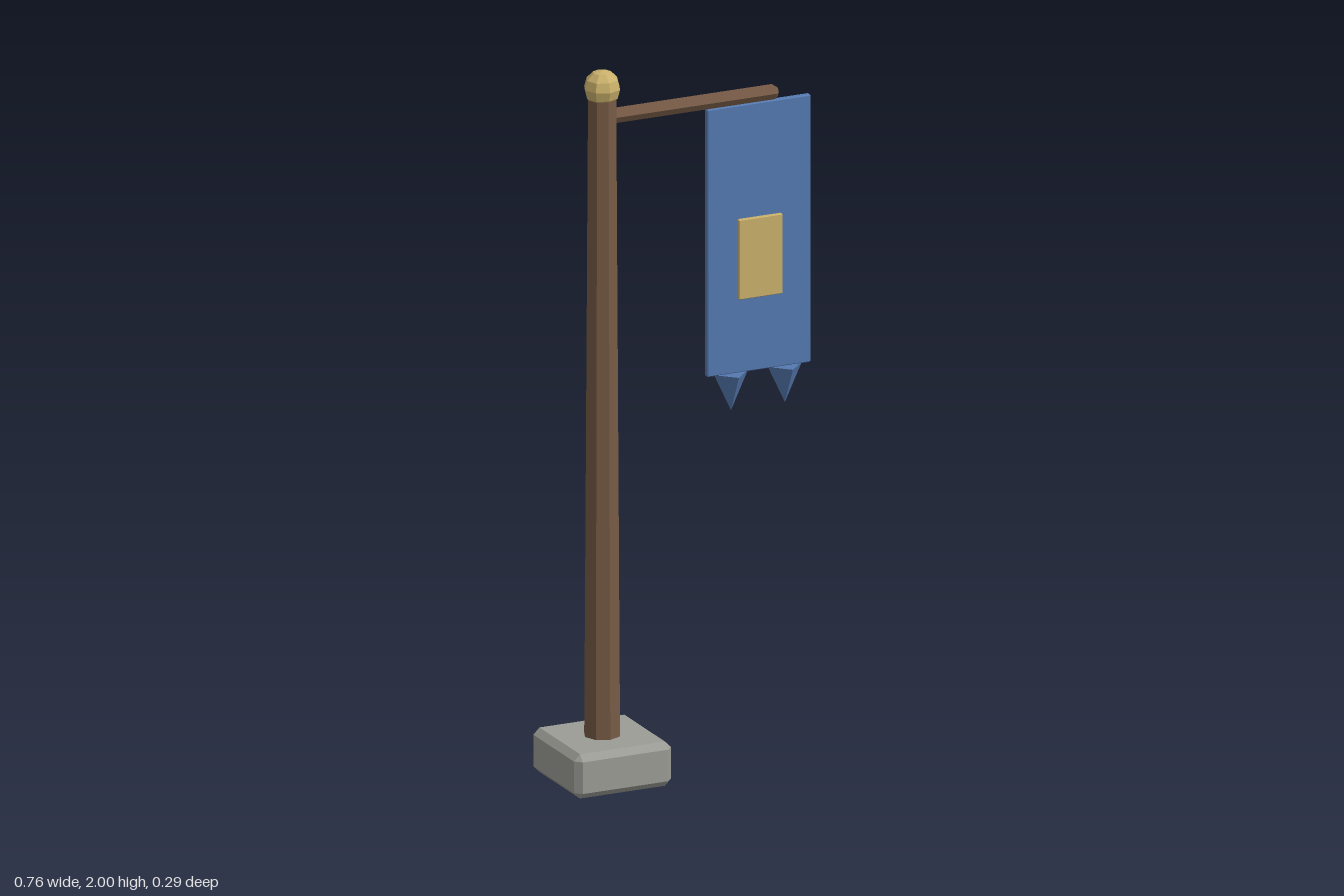
import * as THREE from 'three';
import { ConvexGeometry } from 'three/addons/geometries/ConvexGeometry.js';

const material = (color) => new THREE.MeshStandardMaterial({ color, flatShading: true });

// Box with every edge and corner cut by c
function chamferBox(w, h, d, c) {
  const half = [w / 2, h / 2, d / 2];
  const points = [];
  for (const sx of [-1, 1]) for (const sy of [-1, 1]) for (const sz of [-1, 1]) {
    for (let axis = 0; axis < 3; axis++) {
      const p = half.map((v, i) => (i === axis ? v : v - c));
      points.push(new THREE.Vector3(p[0] * sx, p[1] * sy, p[2] * sz));
    }
  }
  return new ConvexGeometry(points);
}

export function createModel() {
  const group = new THREE.Group();
  const stone = material(0x9c9c96);
  const wood = material(0x765a45);
  const cloth = material(0x5579b0);
  const gold = material(0xc9b06a);

  const add = (name, geometry, mat, x, y, z = 0) => {
    const mesh = new THREE.Mesh(geometry, mat);
    mesh.name = name;
    mesh.position.set(x, y, z);
    group.add(mesh);
    return mesh;
  };

  const poleX = -0.238;
  const bannerX = 0.224;

  // Stone foot, tapered octagonal pole and faceted ball on top
  add('base', chamferBox(0.288, 0.125, 0.288, 0.018), stone, poleX, 0.0625);
  add('pole', new THREE.CylinderGeometry(0.04, 0.051, 1.83, 8), wood, poleX, 1.025);
  add('finial', new THREE.SphereGeometry(0.051, 8, 6), gold, poleX, 1.949);

  // Hexagonal crossarm with a slightly cut end
  const armProfile = [[0, 0], [0.021, 0], [0.021, 0.508], [0.013, 0.518], [0, 0.518]]
    .map(([r, y]) => new THREE.Vector2(r, y));
  const arm = add('crossarm', new THREE.LatheGeometry(armProfile, 6), wood, poleX, 1.866);
  arm.rotation.z = -Math.PI / 2;

  // Hanging banner with a raised panel on its front
  add('banner', chamferBox(0.308, 0.755, 0.017, 0.003), cloth, bannerX, 1.4675);
  add('bannerPanel', chamferBox(0.13, 0.225, 0.014, 0.002), gold, bannerX, 1.412, 0.013);

  // Pointed tails under the banner
  for (const side of [-1, 1]) {
    const tail = add('bannerTail', new THREE.ConeGeometry(0.05, 0.106, 4), cloth, bannerX + side * 0.08, 1.038);
    tail.rotation.x = Math.PI;
  }

  return group;
}
